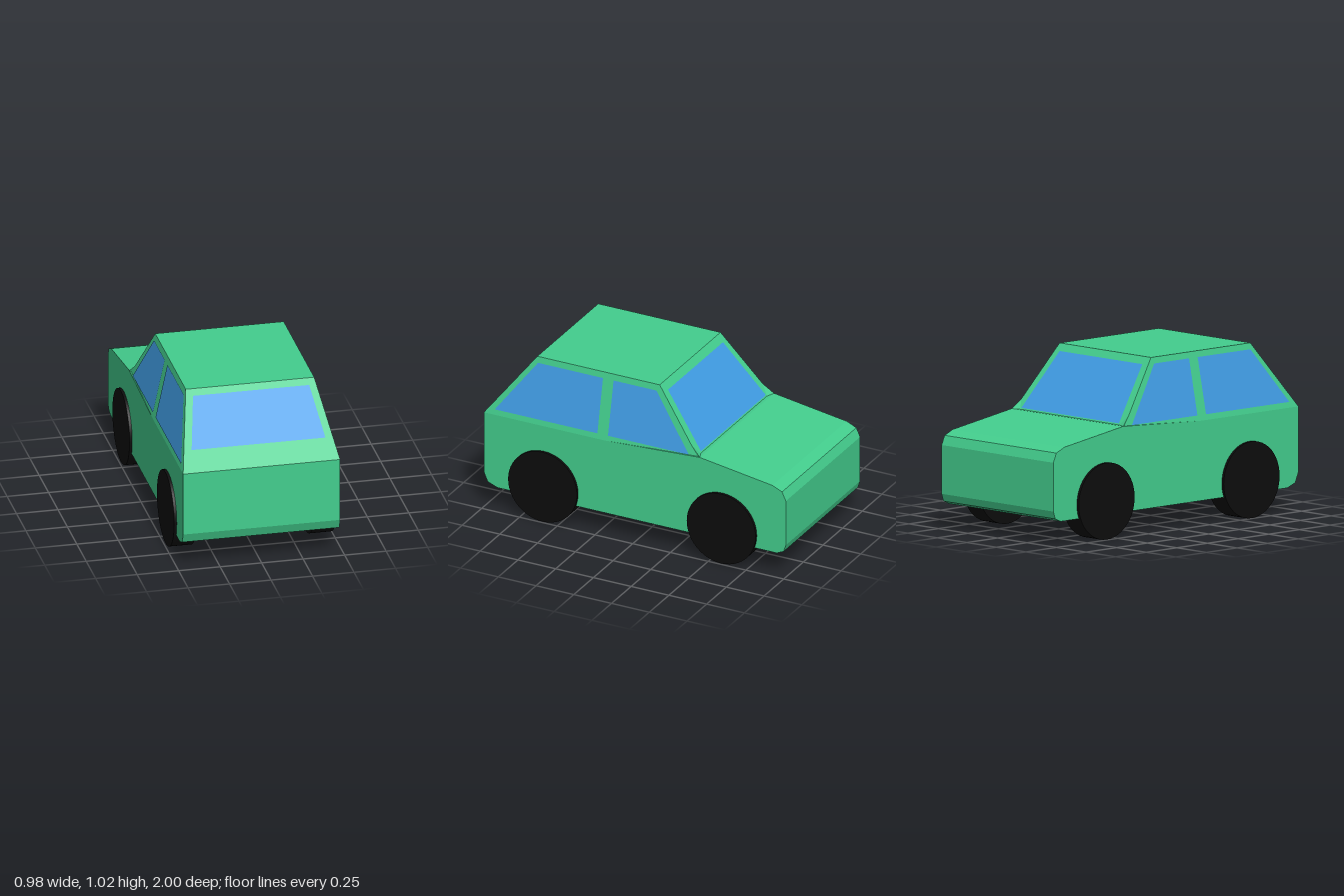
import * as THREE from 'three';

const paint = new THREE.MeshStandardMaterial({ color: 0x43cd8d });
const glass = new THREE.MeshStandardMaterial({ color: 0x409ce4 });
const rubber = new THREE.MeshStandardMaterial({ color: 0x0d0d0d });
const HALF = 0.473;

// x of the sloping cabin side, z of the two sloping screens at height y
const sideX = (y) => HALF - (y - 0.62) * 0.214;
const rearZ = (y) => 1 - (y - 0.62) * 0.771;
const frontZ = (y) => -0.12 - (1.022 - y) * 0.79;

// Flat convex panel facing away from the cabin centre, lifted by an offset
function panel(name, corners, material, lift = 0) {
  const pts = corners.map((c) => new THREE.Vector3(...c));
  const mid = pts.reduce((s, p) => s.add(p), new THREE.Vector3()).divideScalar(pts.length);
  const n = new THREE.Vector3();
  for (let i = 1; i < pts.length - 1; i++) {
    n.add(pts[i].clone().sub(pts[0]).cross(pts[i + 1].clone().sub(pts[0])));
  }
  n.normalize();
  if (n.dot(mid.sub(new THREE.Vector3(0, 0.6, 0.2))) < 0) {
    n.negate();
    pts.reverse();
  }
  pts.forEach((p) => p.addScaledVector(n, lift));
  const tri = [];
  for (let i = 1; i < pts.length - 1; i++) tri.push(pts[0], pts[i], pts[i + 1]);
  const geo = new THREE.BufferGeometry().setFromPoints(tri);
  geo.computeVertexNormals();
  const mesh = new THREE.Mesh(geo, material);
  mesh.name = name;
  return mesh;
}

// Symmetric panel from [x, y, z] points of the +x half
const symmetric = (half) => [...half, ...half.map(([x, y, z]) => [-x, y, z]).reverse()];

export function createModel() {
  const car = new THREE.Group();
  car.name = 'car';

  // Lower body: side profile as [z, y], extruded across the width
  const profile = [
    [1, 0.62], [1, 0.23], [0.975, 0.17], [0.91, 0.145], [-0.94, 0.145], [-0.985, 0.165],
    [-1, 0.21], [-1, 0.5], [-0.975, 0.555], [-0.91, 0.583], [-0.43, 0.655], [0.2, 0.62],
  ];
  const shape = new THREE.Shape(profile.map(([z, y]) => new THREE.Vector2(-z, y)));
  const bodyGeo = new THREE.ExtrudeGeometry(shape, { depth: HALF * 2, bevelEnabled: false });
  bodyGeo.translate(0, 0, -HALF).rotateY(Math.PI / 2);
  const body = new THREE.Mesh(bodyGeo, paint);
  body.name = 'lowerBody';
  car.add(body);

  // Cabin shell
  const cabin = new THREE.Group();
  cabin.name = 'cabin';
  car.add(cabin);
  const top = 1.022, roofX = sideX(top), hoodY = 0.655;
  const roofRear = [roofX, top, rearZ(top)], roofFront = [roofX, top, frontZ(top)];
  const pillarFoot = [sideX(hoodY), hoodY, frontZ(hoodY)];
  cabin.add(
    panel('roof', symmetric([roofRear, roofFront]), paint),
    panel('tailgate', symmetric([[HALF, 0.62, 1], roofRear]), paint),
    panel('windshieldFrame', symmetric([pillarFoot, roofFront]), paint),
    panel('rearWindow', symmetric([
      [0.403, 0.73, rearZ(0.73)], [0.35, 0.987, rearZ(0.987)],
    ]), glass, 0.003),
    panel('windshield', symmetric([
      [0.413, 0.662, frontZ(0.662)], [0.35, 0.98, frontZ(0.98)],
    ]), glass, 0.003),
  );

  // Cabin sides, side windows and the small corners at the windshield foot
  const rearGlass = [[0.93, 0.653], [0.68, 0.985], [0.25, 0.985], [0.25, 0.653]];
  const frontGlass = [[0.18, 0.653], [0.18, 0.985], [-0.105, 0.985], [-0.355, 0.653]];
  for (const [side, s] of [['left', 1], ['right', -1]]) {
    const flip = (pts) => pts.map(([x, y, z]) => [s * x, y, z]);
    const onSide = (pts) => flip(pts.map(([z, y]) => [sideX(y), y, z]));
    const belt = [HALF, 0.62, 0.2], corner = [HALF, hoodY, -0.43];
    const pillar = [sideX(0.71), 0.71, frontZ(0.71)];
    const inner = [0.42, hoodY, frontZ(hoodY)];
    cabin.add(
      panel(side + 'CabinSide', flip([[HALF, 0.62, 1], belt, pillarFoot, roofFront, roofRear]), paint),
      panel(side + 'BeltLedge', flip([belt, corner, pillarFoot]), paint),
      panel(side + 'PillarFootOuter', flip([corner, pillar, pillarFoot]), paint),
      panel(side + 'PillarFootFront', flip([corner, pillar, inner]), paint),
      panel(side + 'RearSideWindow', onSide(rearGlass), glass, 0.003),
      panel(side + 'FrontSideWindow', onSide(frontGlass), glass, 0.003),
    );
  }

  // Wheels
  const wheelGeo = new THREE.CylinderGeometry(0.228, 0.228, 0.134, 48).rotateZ(Math.PI / 2);
  for (const [end, z] of [['rear', 0.603], ['front', -0.58]]) {
    for (const s of [1, -1]) {
      const wheel = new THREE.Mesh(wheelGeo, rubber);
      wheel.name = end + 'Wheel';
      wheel.position.set(s * 0.422, 0.228, z);
      car.add(wheel);
    }
  }
  return car;
}
